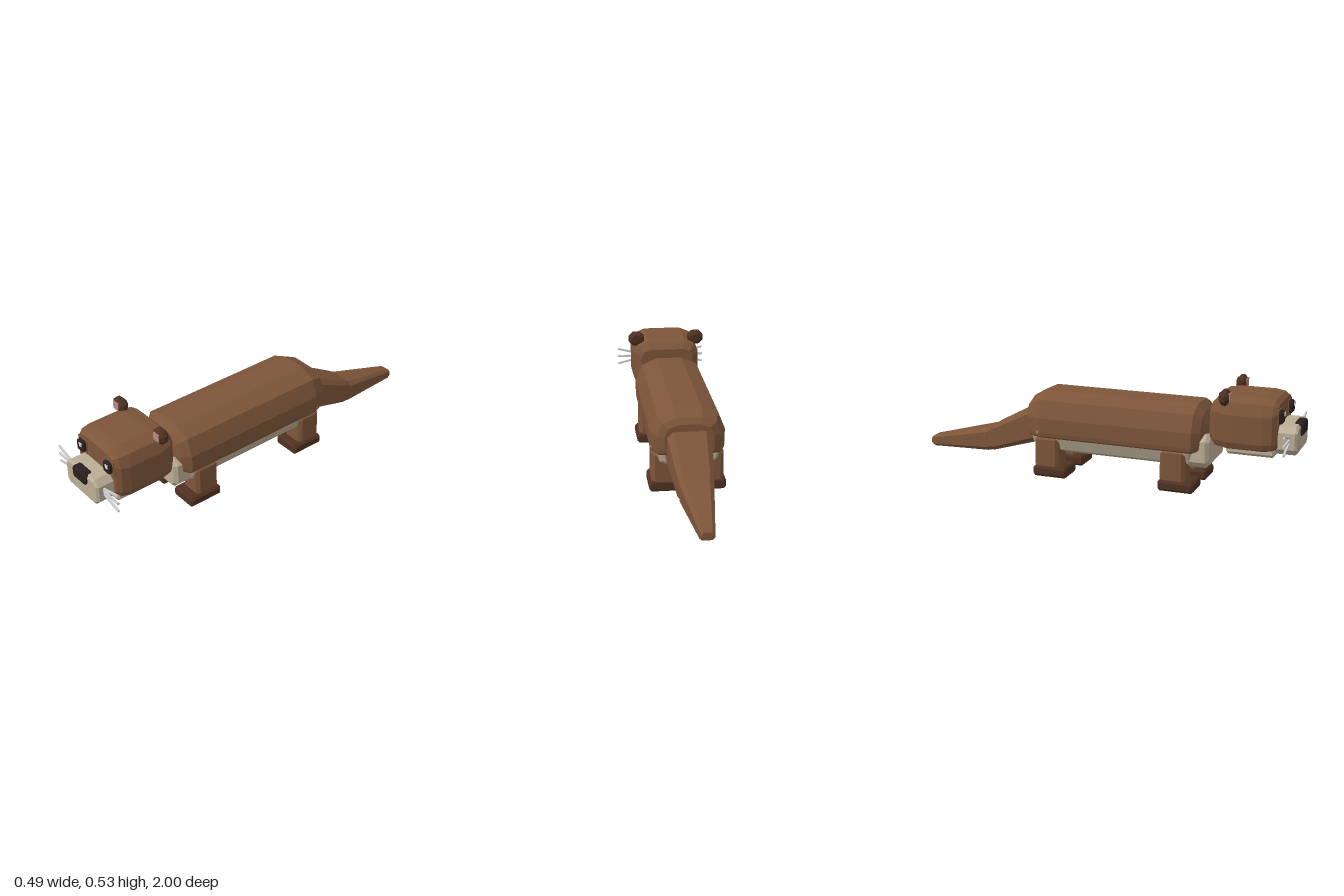
import * as THREE from 'three';

const material = (name, color) => {
  const m = new THREE.MeshStandardMaterial({ color });
  m.name = name;
  return m;
};

// Faceted solid from chamfered cross-sections along z, back to front.
// Each ring: [z, bottom, top, halfWidth, cornerX, cornerY, lowerCornerX, lowerCornerY]
function loft(rings, x = 0, steps = 1) {
  const loops = rings.map(([z, y0, y1, w, cx, cy, bx = cx, by = cy]) => {
    const pts = [];
    [[1, 1], [-1, 1], [-1, -1], [1, -1]].forEach(([sx, sy], q) => {
      const rx = sy > 0 ? cx : bx, ry = sy > 0 ? cy : by;
      for (let i = 0; i <= steps; i++) {
        const a = (q + i / steps) * Math.PI / 2;
        const px = sx * (w - rx) + rx * Math.cos(a);
        const py = (sy > 0 ? y1 - ry : y0 + ry) + ry * Math.sin(a);
        pts.push([x + px, py, z]);
      }
    });
    return pts;
  });
  const pos = [];
  const tri = (a, b, c) => pos.push(...a, ...b, ...c);
  const n = loops[0].length;
  for (let r = 0; r < loops.length - 1; r++) {
    for (let i = 0; i < n; i++) {
      const j = (i + 1) % n, a = loops[r], b = loops[r + 1];
      tri(a[i], a[j], b[j]);
      tri(a[i], b[j], b[i]);
    }
  }
  const back = loops[0], front = loops[loops.length - 1];
  for (let i = 1; i < n - 1; i++) {
    tri(front[0], front[i], front[i + 1]);
    tri(back[0], back[i + 1], back[i]);
  }
  const g = new THREE.BufferGeometry();
  g.setAttribute('position', new THREE.Float32BufferAttribute(pos, 3));
  g.computeVertexNormals();
  return g;
}

// Box with every edge chamfered, given by its x, y and z ranges
function block([x0, x1], [y0, y1], [z0, z1], b, bz = b) {
  const w = (x1 - x0) / 2;
  const end = z => [z, y0 + bz, y1 - bz, w - bz, b * 0.6, b * 0.6];
  const full = z => [z, y0, y1, w, b, b];
  return loft([end(z0), full(z0 + bz), full(z1 - bz), end(z1)], (x0 + x1) / 2);
}

export function createModel() {
  const brown = material('brown fur', 0x7d553a);
  const dark = material('dark brown fur', 0x4f3122);
  const cream = material('cream fur', 0xbbad95);
  const black = material('nose and eye black', 0x2a2020);
  const pink = material('inner ear pink', 0xb58a80);
  const grey = material('whisker grey', 0xcfcfd2);
  const white = material('eye glint', 0xdcdcdc);
  const pad = material('paw pad', 0x3a241b);

  const model = new THREE.Group();
  model.name = 'otter';
  const add = (name, geometry, mat, parent = model) => {
    const mesh = new THREE.Mesh(geometry, mat);
    mesh.name = name;
    parent.add(mesh);
    return mesh;
  };
  const box = (w, h, d, x, y, z) => new THREE.BoxGeometry(w, h, d).translate(x, y, z);

  // Long rounded body; the belly completes its cross-section below
  add('body', loft([
    [-0.39, 0.22, 0.36, 0.12, 0.07, 0.06, 0.01, 0.02],
    [-0.37, 0.205, 0.388, 0.155, 0.09, 0.09, 0.01, 0.025],
    [-0.30, 0.2, 0.422, 0.181, 0.115, 0.12, 0.011, 0.027],
    [0.49, 0.2, 0.422, 0.181, 0.115, 0.12, 0.011, 0.027],
    [0.525, 0.21, 0.385, 0.145, 0.09, 0.09, 0.01, 0.025],
    [0.552, 0.23, 0.33, 0.09, 0.05, 0.045, 0.01, 0.02],
  ], 0, 2), brown);
  add('belly', loft([
    [-0.355, 0.145, 0.24, 0.15, 0.02, 0.005, 0.09, 0.08],
    [-0.31, 0.107, 0.24, 0.179, 0.02, 0.005, 0.115, 0.12],
    [0.47, 0.107, 0.24, 0.179, 0.02, 0.005, 0.115, 0.12],
    [0.505, 0.14, 0.24, 0.14, 0.02, 0.005, 0.09, 0.08],
  ], 0, 2), cream);
  add('chest', block([-0.147, 0.147], [0.12, 0.288], [0.45, 0.567], 0.032, 0.017), cream);

  // Two-part tapering tail
  add('tailBase', loft([
    [-0.66, 0.085, 0.178, 0.075, 0.02, 0.02],
    [-0.61, 0.072, 0.207, 0.085, 0.02, 0.02],
    [-0.34, 0.155, 0.352, 0.112, 0.03, 0.03],
  ]), brown);
  add('tailTip', loft([
    [-1.0, 0.055, 0.09, 0.027, 0.01, 0.01],
    [-0.98, 0.045, 0.104, 0.035, 0.012, 0.012],
    [-0.645, 0.066, 0.187, 0.08, 0.02, 0.02],
    [-0.58, 0.08, 0.19, 0.07, 0.02, 0.02],
  ]), brown);

  // Legs and paws
  for (const [end, legZ, pawZ] of [
    ['front', [0.33, 0.458], [0.325, 0.505]],
    ['back', [-0.33, -0.2], [-0.335, -0.157]],
  ]) {
    for (const s of [1, -1]) {
      const side = s > 0 ? 'Left' : 'Right';
      const span = (a, b) => (s > 0 ? [a, b] : [-b, -a]);
      add(end + side + 'Leg', block(span(0.055, 0.175), [0.03, 0.207], legZ, 0.016), brown);
      add(end + side + 'Paw', block(span(0.042, 0.187), [0, 0.054], pawZ, 0.012, 0.009), dark);
      add(end + side + 'Pad', box(0.055, 0.004, 0.065, s * 0.115, 0.002, (pawZ[0] + pawZ[1]) / 2), pad);
    }
  }

  // Head, jaw, muzzle and nose
  const head = new THREE.Group();
  head.name = 'head';
  model.add(head);
  add('skull', loft([
    [0.57, 0.27, 0.445, 0.14, 0.05, 0.04],
    [0.60, 0.246, 0.48, 0.17, 0.07, 0.06, 0.04, 0.04],
    [0.66, 0.238, 0.491, 0.179, 0.08, 0.08, 0.04, 0.04],
    [0.83, 0.238, 0.491, 0.179, 0.08, 0.08, 0.04, 0.04],
    [0.875, 0.241, 0.484, 0.168, 0.07, 0.07, 0.04, 0.04],
    [0.896, 0.255, 0.466, 0.147, 0.05, 0.04, 0.03, 0.03],
  ], 0, 2), brown, head);
  add('jaw', block([-0.14, 0.14], [0.21, 0.262], [0.65, 0.885], 0.014, 0.01), cream, head);
  add('muzzle', block([-0.13, 0.13], [0.226, 0.365], [0.87, 0.987], 0.03, 0.011), cream, head);
  add('nose', block([-0.054, 0.054], [0.307, 0.374], [0.955, 1.0], 0.014, 0.008), black, head);

  for (const s of [1, -1]) {
    const side = s > 0 ? 'left' : 'right';
    const span = (a, b) => (s > 0 ? [a, b] : [-b, -a]);
    // Eyes with glints on the same side
    add(side + 'EyeSocket', box(0.07, 0.078, 0.006, s * 0.108, 0.406, 0.896), brown, head);
    add(side + 'Eye', block(span(0.08, 0.134), [0.377, 0.438], [0.885, 0.918], 0.01, 0.007), black, head);
    add(side + 'EyeGlint', box(0.019, 0.019, 0.005, s * 0.107 + 0.01, 0.421, 0.919), white, head);
    // Ears
    add(side + 'Ear', block(span(0.119, 0.203), [0.455, 0.528], [0.622, 0.672], 0.022, 0.016), dark, head);
    add(side + 'InnerEar', box(0.04, 0.04, 0.006, s * 0.161, 0.494, 0.672), pink, head);
    // Whiskers fanning out from the muzzle
    for (const k of [-1, 0, 1]) {
      const w = add(side + 'Whisker', box(0.125, 0.01, 0.009, 0, 0, 0), grey, head);
      w.position.set(s * 0.182, 0.303 + k * 0.028, 0.95);
      w.rotation.z = s * k * 0.25;
    }
  }
  return model;
}
